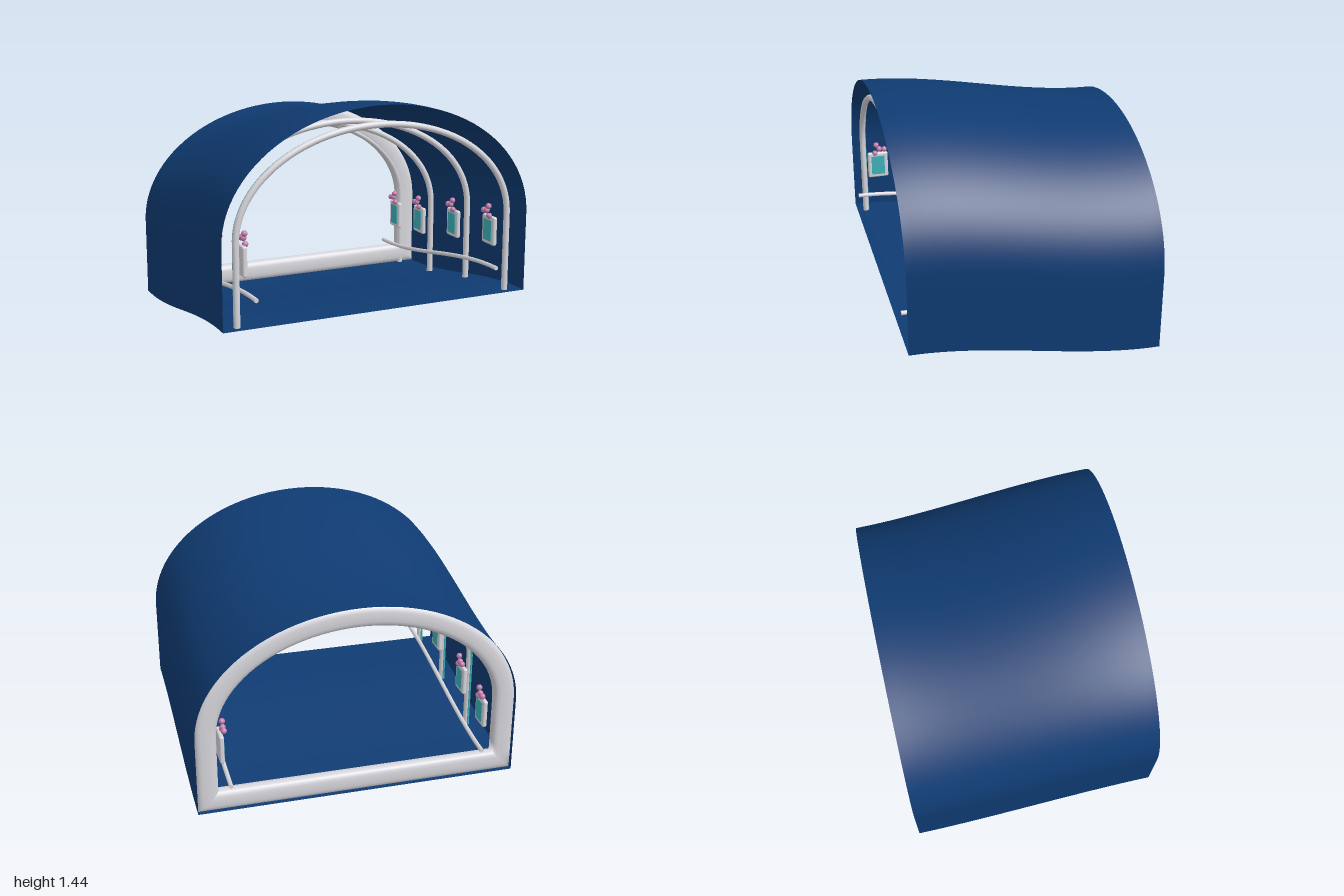
import * as THREE from 'three';
import { RoundedBoxGeometry } from 'three/addons/geometries/RoundedBoxGeometry.js';

const HALF = 0.78;   // half length along z
const SPRING = 0.5;  // height where the arch begins
const TOP = 1.24;

const mat = (name, color, side = THREE.FrontSide) => {
  const m = new THREE.MeshStandardMaterial({ color, side });
  m.name = name;
  return m;
};

// floor height: a smooth step rising from back to front
const rise = z => {
  const t = THREE.MathUtils.clamp((z + HALF) / (2 * HALF), 0, 1);
  return 0.2 * t * t * (3 - 2 * t);
};

// arch outline from foot to foot: straight legs and a half ellipse
function archPoints(rx, top, foot = 0, n = 48) {
  const pts = [];
  for (let i = 0; i < 5; i++) pts.push([rx, foot + (SPRING - foot) * i / 5]);
  for (let i = 0; i <= n; i++) {
    const a = Math.PI * i / n;
    pts.push([rx * Math.cos(a), SPRING + (top - SPRING) * Math.sin(a)]);
  }
  for (let i = 4; i >= 0; i--) pts.push([-rx, foot + (SPRING - foot) * i / 5]);
  return pts;
}

// surface through equal rows of [x, y, z] points
function loft(rows) {
  const n = rows[0].length, index = [];
  for (let r = 0; r < rows.length - 1; r++) {
    for (let i = 0; i < n - 1; i++) {
      const a = r * n + i, b = a + n;
      index.push(a, a + 1, b, a + 1, b + 1, b);
    }
  }
  const g = new THREE.BufferGeometry();
  g.setAttribute('position', new THREE.Float32BufferAttribute(rows.flat(2), 3));
  g.setIndex(index);
  g.computeVertexNormals();
  return g;
}

class PathCurve extends THREE.Curve {
  constructor(fn) { super(); this.fn = fn; }
  getPoint(t, target = new THREE.Vector3()) { return target.set(...this.fn(t)); }
}

// arched path of a rib, legs taking a fifth of the length each
function ribCurve(rx, top, z) {
  return new PathCurve(t => {
    const y0 = rise(z);
    if (t < 0.2) return [rx, y0 + SPRING * t / 0.2, z];
    if (t > 0.8) return [-rx, y0 + SPRING * (1 - t) / 0.2, z];
    const a = Math.PI * (t - 0.2) / 0.6;
    return [rx * Math.cos(a), y0 + SPRING + (top - SPRING) * Math.sin(a), z];
  });
}

export function createModel() {
  const model = new THREE.Group();
  const blue = mat('deep blue', 0x0f3b72, THREE.DoubleSide);
  const white = mat('off white', 0xd6d6dc, THREE.DoubleSide);
  const teal = mat('teal', 0x3fb2ba);
  const pink = mat('pink', 0xc77fae);

  const add = (parent, name, geo, material, x = 0, y = 0, z = 0) => {
    const m = new THREE.Mesh(geo, material);
    m.name = name;
    m.position.set(x, y, z);
    parent.add(m);
    return m;
  };

  // vaulted shell and floor, both following the rise
  const stations = Array.from({ length: 25 }, (_, i) => -HALF + 2 * HALF * i / 24);
  const outline = archPoints(1, TOP);
  add(model, 'tunnelShell', loft(stations.map(z => outline.map(([x, y]) => [x, y + rise(z), z]))), blue);
  add(model, 'floor', loft(stations.map(z => [-1, 0, 1].map(x => [x, rise(z), z]))), blue);

  // rounded rim around the back opening, mitred at the lower corners
  const power = v => Math.sign(v) * Math.abs(v) ** 0.7;
  const rimRows = [];
  for (let i = 0; i <= 20; i++) {
    const a = Math.PI * 2 * i / 20;
    const inset = 0.067 + 0.066 * power(Math.cos(a));
    const z = -HALF + 0.046 + 0.045 * power(Math.sin(a));
    const loop = archPoints(1 - inset, TOP - inset, inset);
    rimRows.push([...loop, loop[0]].map(([x, y]) => [x, y + 0.001, z]));
  }
  add(model, 'backRim', loft(rimRows), white);

  // arched ribs, each with a thin light line on its rear side
  for (const z of [0.72, 0.24, -0.25, -0.71]) {
    add(model, 'rib', new THREE.TubeGeometry(ribCurve(0.895, 1.117, z), 80, 0.02, 10), white);
    add(model, 'ribLight', new THREE.TubeGeometry(ribCurve(0.903, 1.125, z - 0.016), 80, 0.008, 6), teal);
  }

  const frameGeo = new RoundedBoxGeometry(0.03, 0.185, 0.14, 3, 0.012);
  const screenGeo = new THREE.BoxGeometry(0.006, 0.135, 0.09);
  const beadGeo = new THREE.SphereGeometry(0.019, 14, 10);
  const beads = [[0.475, 0.02], [0.505, -0.01], [0.535, 0.01], [0.5, -0.045]];

  for (const side of [-1, 1]) {
    // handrail parallel to the floor
    const rail = new PathCurve(t => {
      const z = HALF - 2 * HALF * t;
      return [side * 0.795, rise(z) + 0.165, z];
    });
    add(model, 'handrail', new THREE.TubeGeometry(rail, 40, 0.014, 8), white);
    for (const z of [HALF, -HALF]) {
      add(model, 'handrailEnd', new THREE.CircleGeometry(0.014, 8), white, side * 0.795, rise(z) + 0.165, z);
    }

    // wall panels with screens and a cluster of beads on top
    for (const z of [0.63, 0.18, -0.29, -0.65]) {
      const panel = new THREE.Group();
      panel.name = 'wallPanel';
      panel.position.set(side * 0.83, rise(z), z);
      add(panel, 'panelFrame', frameGeo, white, 0, 0.38, 0);
      add(panel, 'panelScreen', screenGeo, teal, -side * 0.015, 0.38, 0);
      for (const [y, dz] of beads) add(panel, 'bead', beadGeo, pink, -side * 0.018, y, dz);
      model.add(panel);
    }
  }
  return model;
}
